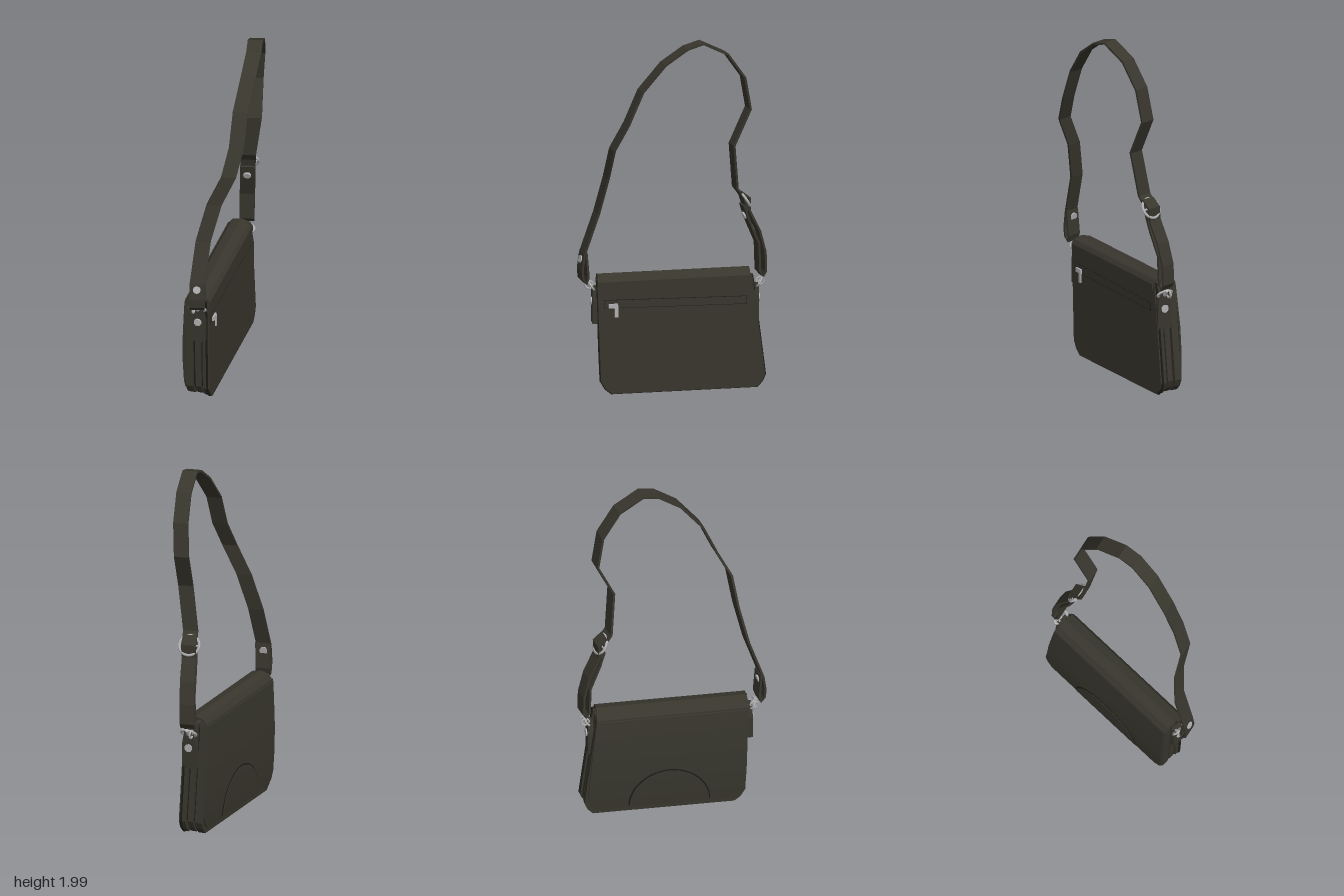
import * as THREE from 'three';

const mat = (name, color) => {
  const m = new THREE.MeshStandardMaterial({ color });
  m.name = name;
  return m;
};

// Solid skin over a row of equal-sized point rings, flat shaded, capped at both ends
function loft(rings) {
  const tris = [];
  const n = rings[0].length;
  for (let i = 0; i < rings.length - 1; i++) {
    for (let j = 0; j < n; j++) {
      const k = (j + 1) % n;
      const a = rings[i][j], b = rings[i][k], c = rings[i + 1][k], d = rings[i + 1][j];
      tris.push([a, b, c], [a, c, d]);
    }
  }
  const first = rings[0], last = rings[rings.length - 1];
  for (let j = 1; j < n - 1; j++) {
    tris.push([first[0], first[j + 1], first[j]], [last[0], last[j], last[j + 1]]);
  }
  // turn the faces outward
  let volume = 0;
  for (const [a, b, c] of tris) volume += a.dot(b.clone().cross(c));
  const pts = tris.flatMap(([a, b, c]) => (volume < 0 ? [a, c, b] : [a, b, c]));
  const g = new THREE.BufferGeometry().setFromPoints(pts);
  g.computeVertexNormals();
  return g;
}

// Flat slab: outline in (length z, height y), thickness from x0 to x1
function slab(outline, x0, x1) {
  const shape = new THREE.Shape(outline.map(([z, y]) => new THREE.Vector2(-z, y)));
  const g = new THREE.ExtrudeGeometry(shape, { depth: x1 - x0, bevelEnabled: false });
  return g.rotateY(Math.PI / 2).translate(x0, 0, 0);
}

// Flat ribbon along [x, y, z] points, its width lying along x
function ribbon(path, width, thickness) {
  const p = path.map((a) => new THREE.Vector3(...a));
  const xAxis = new THREE.Vector3(1, 0, 0);
  return loft(p.map((c, i) => {
    const t = p[Math.min(i + 1, p.length - 1)].clone().sub(p[Math.max(i - 1, 0)]);
    t.x = 0;
    const nrm = xAxis.clone().cross(t.normalize());
    return [[-1, -1], [1, -1], [1, 1], [-1, 1]].map(([s, r]) =>
      c.clone().addScaledVector(xAxis, s * width / 2).addScaledVector(nrm, r * thickness / 2));
  }));
}

export function createModel() {
  const leather = mat('dark olive leather', 0x38362d);
  const trim = mat('black trim', 0x1b1b17);
  const metal = mat('silver metal', 0xb2b2b4);

  const model = new THREE.Group();
  model.name = 'shoulderBag';
  const bag = new THREE.Group();
  bag.name = 'bagBody';
  bag.rotation.y = -0.218;
  model.add(bag);

  const add = (parent, name, geometry, material, pos = [0, 0, 0]) => {
    const m = new THREE.Mesh(geometry, material);
    m.name = name;
    m.position.set(...pos);
    parent.add(m);
    return m;
  };

  // Body: three stacked compartments around a recessed core
  const outline = [[0.416, 0.635], [0.396, 0.08], [0.37, 0.035], [0.335, 0.008],
    [-0.455, 0.028], [-0.485, 0.06], [-0.502, 0.1], [-0.432, 0.655]];
  const scaled = (s) => outline.map(([z, y]) => [-0.045 + (z + 0.045) * s, 0.335 + (y - 0.335) * s]);
  add(bag, 'core', slab(scaled(0.95), -0.1, 0.02), trim);
  add(bag, 'backPanel', slab(outline, -0.008, 0.03), leather);
  add(bag, 'backPiping', slab(scaled(1.012), 0.012, 0.022), trim);
  add(bag, 'middleCompartment', slab(scaled(0.985), -0.052, -0.02), leather);
  add(bag, 'frontCompartment', slab(scaled(0.99), -0.105, -0.064), leather);

  // Flap: rows of [x, y, end z, start z], wrapped over the top and down the front
  const tilt = (z) => -0.025 * (z + 0.01);
  const flapRows = [[0.036, 0.615, 0.412, -0.422], [0.036, 0.645, 0.412, -0.422],
    [0.02, 0.668, 0.412, -0.42], [-0.03, 0.68, 0.412, -0.42], [-0.08, 0.668, 0.412, -0.424],
    [-0.108, 0.63, 0.41, -0.43], [-0.115, 0.52, 0.405, -0.442], [-0.122, 0.38, 0.4, -0.458],
    [-0.122, 0.24, 0.396, -0.47], [-0.117, 0.12, 0.39, -0.48], [-0.113, 0.075, 0.375, -0.465],
    [-0.11, 0.045, 0.335, -0.43]];
  const centre = new THREE.Vector3(-0.045, 0.36, 0);
  const flapRing = ([x, y, z1, z0]) => {
    const dir = new THREE.Vector2(centre.x - x, y > 0.6 ? 0.6 - y : 0).normalize().multiplyScalar(0.01);
    return [[0, z0], [0, z1], [1, z1], [1, z0]].map(([inner, z]) =>
      new THREE.Vector3(x + inner * dir.x, y + tilt(z) + inner * dir.y, z));
  };
  add(bag, 'flap', loft(flapRows.map(flapRing)), leather);

  // Half-round patch at the foot of the flap, with a dark edge
  const flapX = (y) => {
    const i = flapRows.findIndex((r, k) => k > 5 && r[1] <= y);
    const a = flapRows[i - 1], b = flapRows[i];
    return a[0] + (b[0] - a[0]) * (a[1] - y) / (a[1] - b[1]);
  };
  const patch = (r, lift) => {
    const rings = [];
    for (let i = 0; i <= 12; i++) {
      const a = (i / 12) * Math.PI / 2;
      const y = 0.06 + r * Math.sin(a), h = Math.max(r * Math.cos(a), 0.01);
      const x = flapX(y);
      rings.push([[-lift, -h], [-lift, h], [0.003, h], [0.003, -h]].map(([dx, z]) =>
        new THREE.Vector3(x + dx, y + tilt(z - 0.03), z - 0.03)));
    }
    return loft(rings);
  };
  add(bag, 'patchEdge', patch(0.226, 0.003), trim);
  add(bag, 'flapPatch', patch(0.219, 0.006), leather);

  // Zipped pocket on the back panel
  const band = (g) => [[0.378 + g, 0.49 - g], [-0.398 - g, 0.497 - g], [-0.398 - g, 0.537 + g], [0.378 + g, 0.532 + g]];
  add(bag, 'zipSeam', slab(band(0.003), 0.029, 0.0315), trim);
  add(bag, 'zipBand', slab(band(0), 0.029, 0.033), leather);
  add(bag, 'zipSlider', new THREE.BoxGeometry(0.012, 0.024, 0.05), metal, [0.038, 0.502, 0.33]);
  add(bag, 'zipPull', new THREE.BoxGeometry(0.008, 0.066, 0.02), metal, [0.042, 0.472, 0.312]);

  const rivet = () => new THREE.CylinderGeometry(0.021, 0.023, 0.01, 10).rotateX(Math.PI / 2);

  // End tabs with rivets, rings and snap hooks
  const tabShape = new THREE.Shape([[-0.042, 0.4], [0.042, 0.4], [0.042, 0.53], [0.03, 0.6], [-0.03, 0.6], [-0.042, 0.53]]
    .map(([x, y]) => new THREE.Vector2(x, y)));
  for (const [side, x, z] of [[1, -0.024, 0.425], [-1, -0.014, -0.452]]) {
    const end = new THREE.Group();
    end.name = side > 0 ? 'frontEndFitting' : 'rearEndFitting';
    end.position.set(x, 0, z);
    bag.add(end);
    add(end, 'tab', new THREE.ExtrudeGeometry(tabShape, { depth: 0.032, bevelEnabled: false }), leather, [0, 0, -0.016]);
    add(end, 'tabRivet', rivet(), metal, [0, 0.52, side * 0.019]);
    add(end, 'tabRing', new THREE.TorusGeometry(0.027, 0.006, 6, 14).scale(1.6, 1, 1), metal, [0, 0.605, side * 0.018])
      .rotation.x = side * 0.6;
    add(end, 'hookBarrel', new THREE.CylinderGeometry(0.01, 0.012, 0.035, 8), metal, [0, 0.615, side * 0.03])
      .rotation.x = side * 0.6;
    add(end, 'snapHook', new THREE.TorusGeometry(0.021, 0.006, 6, 12).rotateY(Math.PI / 2), metal, [-0.02, 0.605, side * 0.028]);
  }

  // Strap: looped through the front hook, up over the top and down to the buckle
  add(model, 'strap', ribbon([
    [-0.115, 0.8, 0.47], [-0.118, 0.66, 0.457], [-0.12, 0.625, 0.466], [-0.12, 0.65, 0.486],
    [-0.12, 0.7, 0.491], [-0.118, 0.79, 0.479], [-0.09, 1.02, 0.407], [-0.033, 1.23, 0.37],
    [0.045, 1.4, 0.362], [0.084, 1.55, 0.292], [0.1, 1.73, 0.217], [0.135, 1.88, 0.1],
    [0.157, 1.965, -0.02], [0.16, 1.99, -0.11], [0.162, 1.92, -0.25], [0.157, 1.78, -0.35],
    [0.145, 1.6, -0.385], [0.142, 1.4, -0.292], [0.108, 1.15, -0.322], [0.105, 1.1, -0.36],
    [0.1, 1.02, -0.385],
  ], 0.083, 0.012), leather);

  // Adjustable lower strap, folded round the rear hook
  add(model, 'strapEnd', ribbon([
    [0.105, 1.13, -0.345], [0.105, 1.09, -0.395], [0.1, 1.02, -0.395], [0.097, 0.9, -0.455],
    [0.092, 0.78, -0.488], [0.09, 0.67, -0.492], [0.09, 0.645, -0.478], [0.09, 0.67, -0.458],
    [0.092, 0.83, -0.452], [0.097, 0.96, -0.395], [0.1, 1.05, -0.365],
  ], 0.08, 0.012), leather);
  add(model, 'buckle', new THREE.TorusGeometry(0.056, 0.008, 6, 16), metal, [0.105, 1.083, -0.372]).rotation.x = 0.57;
  add(model, 'buckleBar', new THREE.CylinderGeometry(0.006, 0.006, 0.11, 6).rotateZ(Math.PI / 2), metal, [0.105, 1.083, -0.372]);

  // Strap rivets
  add(model, 'frontStrapRivetOuter', rivet(), metal, [-0.12, 0.76, 0.49]).rotation.x = -0.25;
  add(model, 'frontStrapRivetInner', rivet(), metal, [-0.12, 0.76, 0.461]).rotation.x = -0.2;
  add(model, 'rearStrapRivet', rivet(), metal, [0.097, 0.985, -0.376]).rotation.x = 0.4;

  return model;
}
